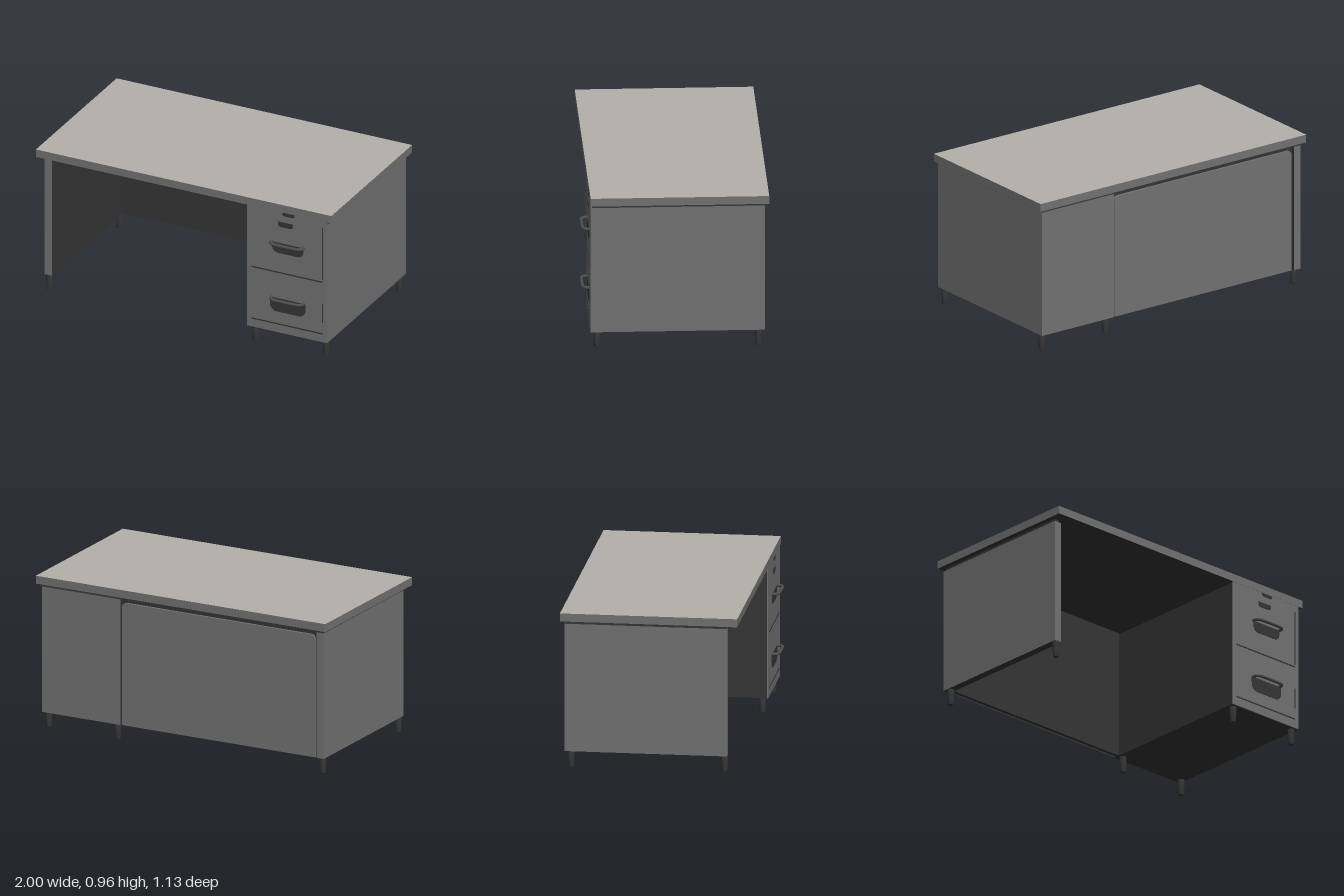
import * as THREE from 'three';

const mat = (name, color) => Object.assign(new THREE.MeshStandardMaterial({ color }), { name });

export function createModel() {
  const desk = new THREE.Group();
  desk.name = 'desk';
  const grey = mat('bodyGrey', 0x727272);
  const top = mat('topBeige', 0xb4b1ac);
  const dark = mat('darkGrey', 0x353535);
  const handleGrey = mat('handleGrey', 0x505050);

  const add = (name, geo, material) => {
    const m = new THREE.Mesh(geo, material);
    m.name = name;
    desk.add(m);
    return m;
  };
  // Box given by its limits on each axis
  const box = (name, [x0, x1], [y0, y1], [z0, z1], material) => {
    const m = add(name, new THREE.BoxGeometry(x1 - x0, y1 - y0, z1 - z0), material);
    m.position.set((x0 + x1) / 2, (y0 + y1) / 2, (z0 + z1) / 2);
    return m;
  };

  // Table top: beige upper face, grey rim, dark underside (+x, -x, +y, -y, +z, -z)
  box('tableTop', [-1, 1], [0.915, 0.965], [-0.565, 0.515], [grey, grey, top, dark, grey, grey]);
  box('pedestalNeck', [0.44, 0.96], [0.89, 0.915], [-0.525, 0.505], dark);
  box('panelNeck', [-0.965, -0.93], [0.89, 0.915], [-0.525, 0.44], dark);

  // Drawer pedestal and side panel, dark towards the knee space
  box('pedestal', [0.43, 0.97], [0.1, 0.895], [-0.54, 0.508], [grey, dark, dark, dark, grey, grey]);
  box('sidePanel', [-0.975, -0.925], [0.1, 0.895], [-0.54, 0.45], [dark, grey, dark, dark, grey, grey]);

  // Back panel: dark inner sheet with a rounded outer plate
  box('backPanelInner', [-0.925, 0.43], [0.1, 0.915], [-0.522, -0.5], dark);
  const [x0, x1, y0, y1, r] = [-0.912, 0.422, 0.1, 0.875, 0.035];
  const plate = new THREE.Shape();
  plate.moveTo(x0, y0);
  plate.lineTo(x1, y0);
  plate.lineTo(x1, y1 - r);
  plate.quadraticCurveTo(x1, y1, x1 - r, y1);
  plate.lineTo(x0 + r, y1);
  plate.quadraticCurveTo(x0, y1, x0, y1 - r);
  plate.closePath();
  add('backPanelOuter', new THREE.ExtrudeGeometry(plate, { depth: 0.014, bevelEnabled: false }), grey)
    .position.z = -0.536;

  // Drawer face with dark seams
  box('drawerFace', [0.43, 0.97], [0.1, 0.915], [0.506, 0.514], grey);
  for (const y of [0.505, 0.157]) box('drawerSeam', [0.46, 0.94], [y - 0.004, y + 0.004], [0.512, 0.516], dark);
  for (const [a, b] of [[0.23, 0.36], [0.52, 0.87]])
    box('sideSeam', [0.938, 0.942], [a, b], [0.512, 0.516], dark);

  // Dark pulls: flat at the top, rounded below
  const recess = (name, cx, yTop, w, h) => {
    const s = new THREE.Shape();
    s.moveTo(-w / 2, 0);
    s.lineTo(-w / 2, -h * 0.4);
    s.quadraticCurveTo(-w / 2, -h, -w * 0.28, -h);
    s.lineTo(w * 0.28, -h);
    s.quadraticCurveTo(w / 2, -h, w / 2, -h * 0.4);
    s.lineTo(w / 2, 0);
    s.closePath();
    add(name, new THREE.ExtrudeGeometry(s, { depth: 0.005, bevelEnabled: false, curveSegments: 6 }), dark)
      .position.set(cx, yTop, 0.512);
  };
  recess('upperRecess', 0.705, 0.705, 0.21, 0.068);
  recess('lowerRecess', 0.705, 0.33, 0.24, 0.09);
  recess('lockPlate', 0.69, 0.848, 0.1, 0.033);
  recess('topCatch', 0.71, 0.914, 0.08, 0.022);

  // Bow handles, slightly flattened
  const bow = new THREE.CatmullRomCurve3([
    [-0.106, 0.51], [-0.106, 0.535], [-0.085, 0.552], [-0.05, 0.555],
    [0.05, 0.555], [0.085, 0.552], [0.106, 0.535], [0.106, 0.51],
  ].map(([x, z]) => new THREE.Vector3(x, 0, z)));
  for (const y of [0.707, 0.332]) {
    const h = add('drawerHandle', new THREE.TubeGeometry(bow, 32, 0.01, 8), handleGrey);
    h.position.set(0.705, y, 0);
  }

  // Feet: short tapered pegs with a rounded tip
  const foot = new THREE.LatheGeometry(
    [[0, 0], [0.014, 0], [0.018, 0.005], [0.022, 0.102], [0, 0.102]].map(p => new THREE.Vector2(...p)), 14);
  for (const [x, z] of [[0.945, 0.475], [0.467, 0.475], [0.945, -0.503], [0.467, -0.503], [-0.95, -0.503], [-0.95, 0.432]])
    add('foot', foot, dark).position.set(x, 0, z);

  return desk;
}
